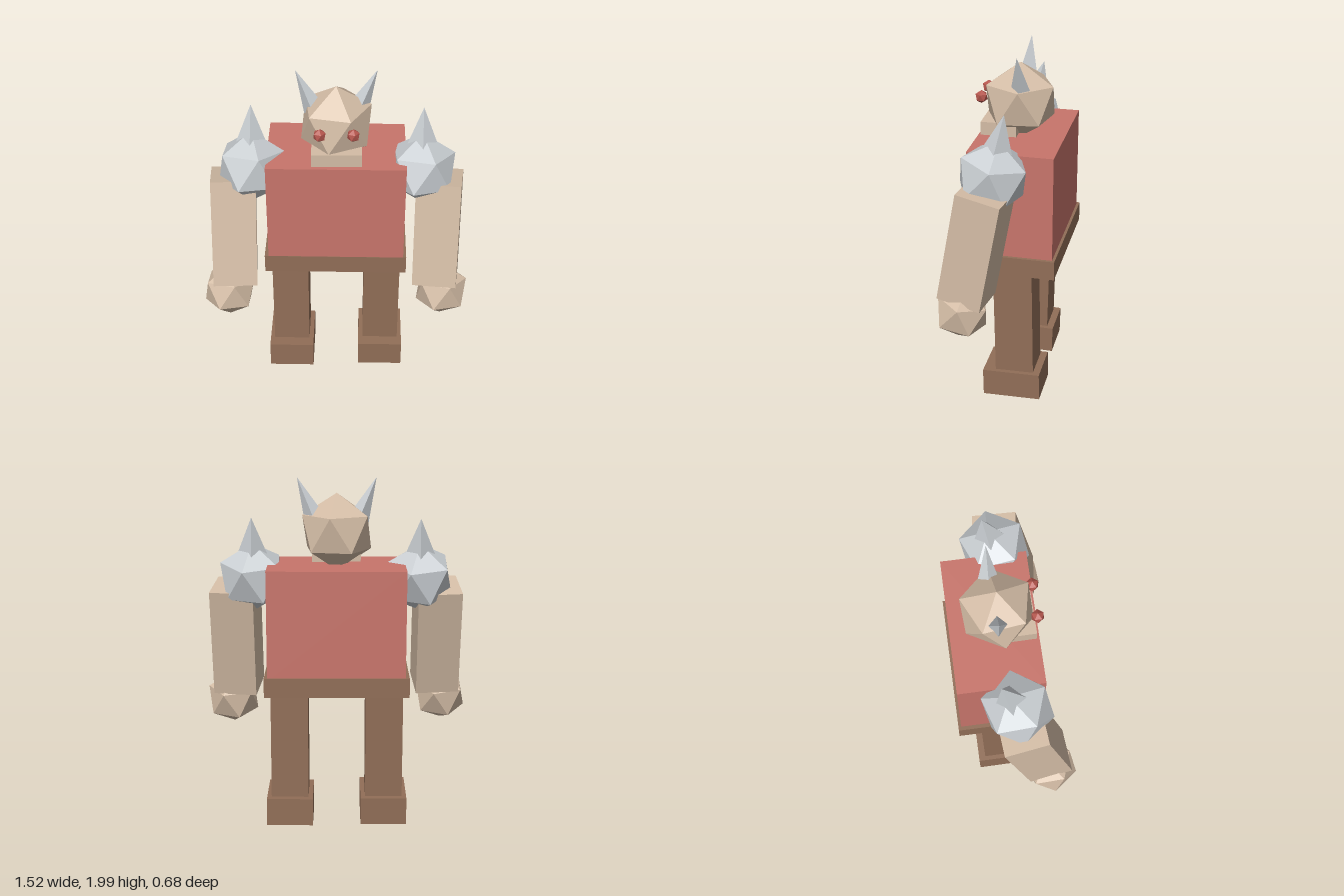
import * as THREE from 'three';

const paint = (name, color) => {
  const m = new THREE.MeshStandardMaterial({ color });
  m.name = name;
  m.flatShading = true;
  return m;
};

export function createModel() {
  const skin = paint('tan stone', 0xd3bca5);
  const cloth = paint('red cloth', 0xc8756b);
  const leather = paint('brown leather', 0x916e57);
  const steel = paint('pale steel', 0xc9ced2);
  const eyeRed = paint('eye red', 0xb5564d);

  const add = (parent, name, geometry, material, x, y, z) => {
    const mesh = new THREE.Mesh(geometry, material);
    mesh.name = name;
    mesh.position.set(x, y, z);
    parent.add(mesh);
    return mesh;
  };
  const group = (parent, name, x, y, z) => {
    const g = new THREE.Group();
    g.name = name;
    g.position.set(x, y, z);
    parent.add(g);
    return g;
  };
  const box = (w, h, d) => new THREE.BoxGeometry(w, h, d);
  // Icosahedron standing on one corner, turned about the vertical
  const rock = (r, turn = 0) =>
    new THREE.IcosahedronGeometry(r, 0)
      .rotateZ(-Math.atan(2 / (1 + Math.sqrt(5))))
      .rotateY(turn);
  // Four-sided spike with its base at the origin
  const spike = (r, h) => new THREE.ConeGeometry(r, h, 4).translate(0, h / 2, 0);

  const model = new THREE.Group();
  model.name = 'golem';

  // Body
  const body = group(model, 'body', 0, 0, -0.09);
  body.rotation.y = 0.02;
  add(body, 'torso', box(0.77, 0.62, 0.475), cloth, -0.003, 1.2, 0.007);
  add(body, 'belt', box(0.81, 0.11, 0.492), leather, -0.005, 0.855, 0);

  // Head, jaw, eyes and horns
  const head = group(model, 'head', -0.004, 1.688, -0.057);
  add(head, 'skull', rock(0.217, 0.14), skin, 0, 0, 0);
  add(head, 'jaw', box(0.275, 0.075, 0.2), skin, 0.006, -0.133, 0.095).rotation.y = 0.03;
  add(head, 'rightEye', rock(0.037), eyeRed, -0.081, 0.034, 0.204);
  add(head, 'leftEye', rock(0.037), eyeRed, 0.099, 0.034, 0.197);
  for (const s of [-1, 1]) {
    const horn = add(head, s > 0 ? 'leftHorn' : 'rightHorn', spike(0.062, 0.262), steel,
      s * 0.118, 0.065, -0.02 - s * 0.01);
    horn.rotation.z = -s * 0.4;
  }

  for (const s of [-1, 1]) {
    const side = s > 0 ? 'left' : 'right';

    // Arm swung forward from the shoulder
    const arm = group(model, side + 'Arm', s * 0.473, 1.42, s > 0 ? -0.02 : 0);
    arm.rotation.x = s > 0 ? -0.182 : -0.24;
    add(arm, 'shoulderPad', rock(0.205, s > 0 ? 0.07 : 0), steel, 0, 0, 0);
    add(arm, 'shoulderSpike', spike(0.1, 0.255), steel, 0, 0.1, 0);
    add(arm, 'forearm', box(0.25, 0.635, 0.25), skin, s * 0.105, -0.37, 0).rotation.y = -s * 0.1;
    add(arm, 'fist', rock(0.16), skin, s * 0.142, -0.765, 0);

    // Leg with its foot
    const leg = group(model, side + 'Leg', s > 0 ? 0.265 : -0.275, 0.8, s > 0 ? -0.1 : -0.09);
    leg.rotation.set(s * 0.02, 0.02, 0);
    add(leg, 'shin', box(0.213, 0.7, 0.22), leather, 0, -0.32, 0);
    add(leg, 'foot', box(0.265, 0.16, 0.33), leather, 0, -0.717, 0.015);
  }

  return model;
}
